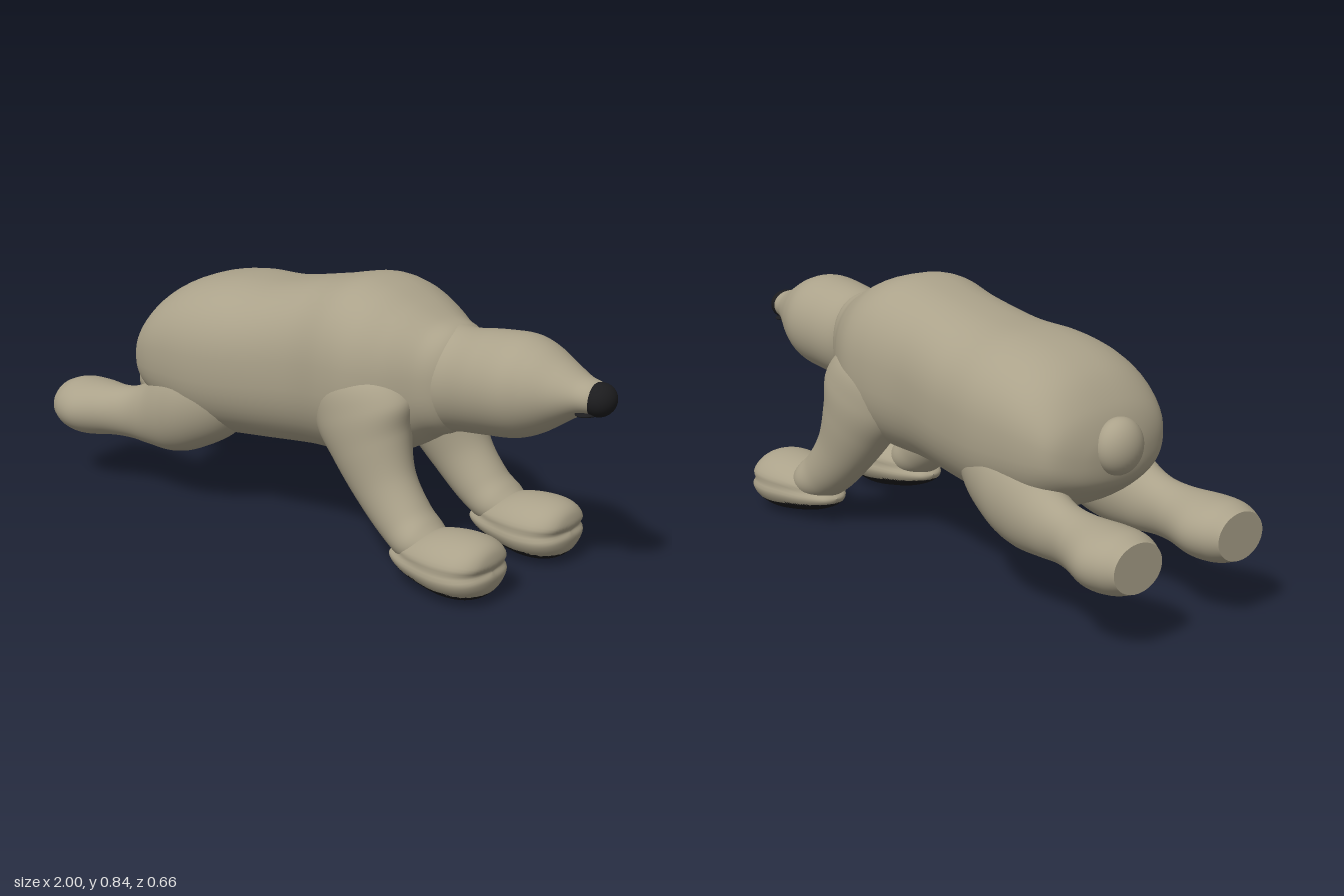
import * as THREE from 'three';

const fur = new THREE.MeshStandardMaterial({ color: 0xaba28a });
fur.name = 'fur';
const black = new THREE.MeshStandardMaterial({ color: 0x1c1c1e });
black.name = 'black';

// Catmull-Rom blend of whole section rows
function rowAt(rows, t) {
  const i = Math.min(Math.floor(t), rows.length - 2), f = t - i;
  const a = rows[Math.max(i - 1, 0)], b = rows[i], c = rows[i + 1], d = rows[Math.min(i + 2, rows.length - 1)];
  return b.map((v, k) => v + 0.5 * f * (c[k] - a[k] + f * (2 * a[k] - 5 * v + 4 * c[k] - d[k]
    + f * (3 * (v - c[k]) + d[k] - a[k]))));
}

// Smooth skin over sections [x, y, z, heading in degrees, half height, half width].
// power > 2 makes the rings boxier; rule moves vertices; isDark picks black faces.
function skin(name, rows, { power = 2, flatEnd = false, rule, isDark } = {}) {
  const around = 56, steps = (rows.length - 1) * 8;
  const pos = [], fair = [], dark = [], p = new THREE.Vector3();
  for (let s = 0; s <= steps; s++) {
    const [x, y, z, deg, h, w] = rowAt(rows, s / 8);
    const a = THREE.MathUtils.degToRad(deg);
    for (let j = 0; j < around; j++) {
      const q = (j / around) * Math.PI * 2, e = 2 / power;
      const u = Math.sign(Math.sin(q)) * Math.abs(Math.sin(q)) ** e * Math.max(h, 0.0005);
      const v = Math.sign(Math.cos(q)) * Math.abs(Math.cos(q)) ** e * Math.max(w, 0.0005);
      p.set(x - Math.sin(a) * u, y + Math.cos(a) * u, z + v);
      if (rule) rule(p);
      pos.push(p.x, p.y, p.z);
    }
  }
  const tri = (a, b, c) => {
    const mid = k => (pos[a * 3 + k] + pos[b * 3 + k] + pos[c * 3 + k]) / 3;
    (isDark && isDark(mid(0), mid(1)) ? dark : fair).push(a, b, c);
  };
  for (let s = 0; s < steps; s++) {
    for (let j = 0; j < around; j++) {
      const a = s * around + j, b = s * around + (j + 1) % around;
      tri(a, a + around, b);
      tri(b, a + around, b + around);
    }
  }
  // Flat end disc with its own vertices, so its rim stays sharp
  if (flatEnd) {
    const base = pos.length / 3, from = steps * around, end = rows[rows.length - 1];
    for (let j = 0; j < around; j++) pos.push(...pos.slice((from + j) * 3, (from + j) * 3 + 3));
    pos.push(end[0], end[1], end[2]);
    for (let j = 0; j < around; j++) tri(base + j, base + around, base + (j + 1) % around);
  }
  const geo = new THREE.BufferGeometry();
  geo.setAttribute('position', new THREE.Float32BufferAttribute(pos, 3));
  geo.setIndex([...fair, ...dark]);
  geo.addGroup(0, fair.length, 0);
  if (dark.length) geo.addGroup(fair.length, dark.length, 1);
  geo.computeVertexNormals();
  const mesh = new THREE.Mesh(geo, [fur, black]);
  mesh.name = name;
  return mesh;
}

function ball(name, material, x, y, z, rx, ry, rz) {
  const mesh = new THREE.Mesh(new THREE.SphereGeometry(1, 32, 24), material);
  mesh.position.set(x, y, z);
  mesh.scale.set(rx, ry, rz);
  mesh.name = name;
  return mesh;
}

export function createModel() {
  const model = new THREE.Group();
  model.name = 'runningBear';

  // Trunk, from rump to the base of the neck: [x, top, bottom, half width]
  const section = ([x, top, bottom, w]) => [x, (top + bottom) / 2, 0, 0, (top - bottom) / 2, w];
  model.add(skin('body', [
    [-0.715, 0.46, 0.46, 0], [-0.705, 0.53, 0.39, 0.12], [-0.67, 0.61, 0.35, 0.215], [-0.6, 0.69, 0.3, 0.258],
    [-0.5, 0.742, 0.27, 0.28], [-0.37, 0.768, 0.253, 0.288], [-0.2, 0.777, 0.265, 0.27],
    [0, 0.815, 0.283, 0.25], [0.15, 0.846, 0.29, 0.268], [0.25, 0.832, 0.305, 0.265],
    [0.34, 0.795, 0.345, 0.228], [0.42, 0.755, 0.395, 0.175], [0.5, 0.72, 0.44, 0.12], [0.56, 0.58, 0.58, 0],
  ].map(section), { power: 2.35 }));

  // Neck and head, tapering to the snout
  model.add(skin('head', [
    [0.34, 0.76, 0.4, 0.17], [0.42, 0.752, 0.408, 0.155], [0.5, 0.738, 0.425, 0.142], [0.6, 0.75, 0.437, 0.153],
    [0.7, 0.756, 0.45, 0.158], [0.77, 0.738, 0.476, 0.136], [0.84, 0.702, 0.52, 0.1],
    [0.9, 0.672, 0.558, 0.07], [0.95, 0.656, 0.574, 0.052], [0.965, 0.615, 0.615, 0],
  ].map(section)));

  // Nose, mouth and tail
  model.add(ball('nose', black, 0.952, 0.613, 0, 0.048, 0.049, 0.056));
  model.add(ball('mouth', black, 0.925, 0.573, 0, 0.036, 0.009, 0.062));
  model.add(ball('tail', fur, -0.71, 0.495, 0, 0.06, 0.085, 0.08));

  for (const [side, m] of [['left', 1], ['right', -1]]) {
    // The model heads toward +x, so its far flanks lie on +z and -z
    model.add(skin(side + 'FrontLeg', [
      [0.19, 0.66, 0.15 * m, -75, 0, 0], [0.21, 0.58, 0.165 * m, -75, 0.13, 0.09],
      [0.25, 0.48, 0.17 * m, -70, 0.175, 0.113], [0.29, 0.38, 0.18 * m, -62, 0.14, 0.103],
      [0.35, 0.27, 0.19 * m, -55, 0.105, 0.086], [0.43, 0.18, 0.195 * m, -45, 0.085, 0.085],
      [0.5, 0.135, 0.2 * m, -25, 0.07, 0.088], [0.58, 0.115, 0.2 * m, 0, 0.04, 0.05],
    ]));

    // Front paw with a groove around it and a dark sole
    model.add(skin(side + 'FrontPaw', [
      [0.388, 0.09, 0, 0], [0.405, 0.09, 0.026, 0.045], [0.47, 0.095, 0.06, 0.09], [0.55, 0.1, 0.084, 0.12],
      [0.63, 0.1, 0.095, 0.133], [0.7, 0.102, 0.088, 0.122], [0.742, 0.104, 0.06, 0.08], [0.757, 0.105, 0, 0],
    ].map(([x, y, h, w]) => [x, y, 0.2 * m, 0, h, w]), {
      rule: p => {
        const pinch = 1 - 0.06 * Math.exp(-(((p.y - 0.108) / 0.013) ** 2));
        p.z = 0.2 * m + (p.z - 0.2 * m) * pinch;
        p.x = 0.58 + (p.x - 0.58) * pinch;
      },
      isDark: (x, y) => y < 0.074 - 0.1 * (x - 0.39),
    }));

    // Hind leg stretched out behind, with a flat paw pad
    model.add(skin(side + 'HindLeg', [
      [-0.2, 0.44, 0.13, 0, 0], [-0.29, 0.41, 0.15, 0.12, 0.09], [-0.42, 0.365, 0.17, 0.155, 0.113],
      [-0.52, 0.33, 0.18, 0.15, 0.104], [-0.62, 0.292, 0.185, 0.112, 0.085], [-0.7, 0.275, 0.19, 0.09, 0.075],
      [-0.78, 0.267, 0.195, 0.085, 0.09], [-0.88, 0.26, 0.2, 0.092, 0.122], [-0.95, 0.26, 0.2, 0.089, 0.115],
      [-1, 0.26, 0.2, 0.072, 0.09],
    ].map(([x, y, z, h, w]) => [x, y, z * m, 180, h, w]), { flatEnd: true }));
  }
  return model;
}
